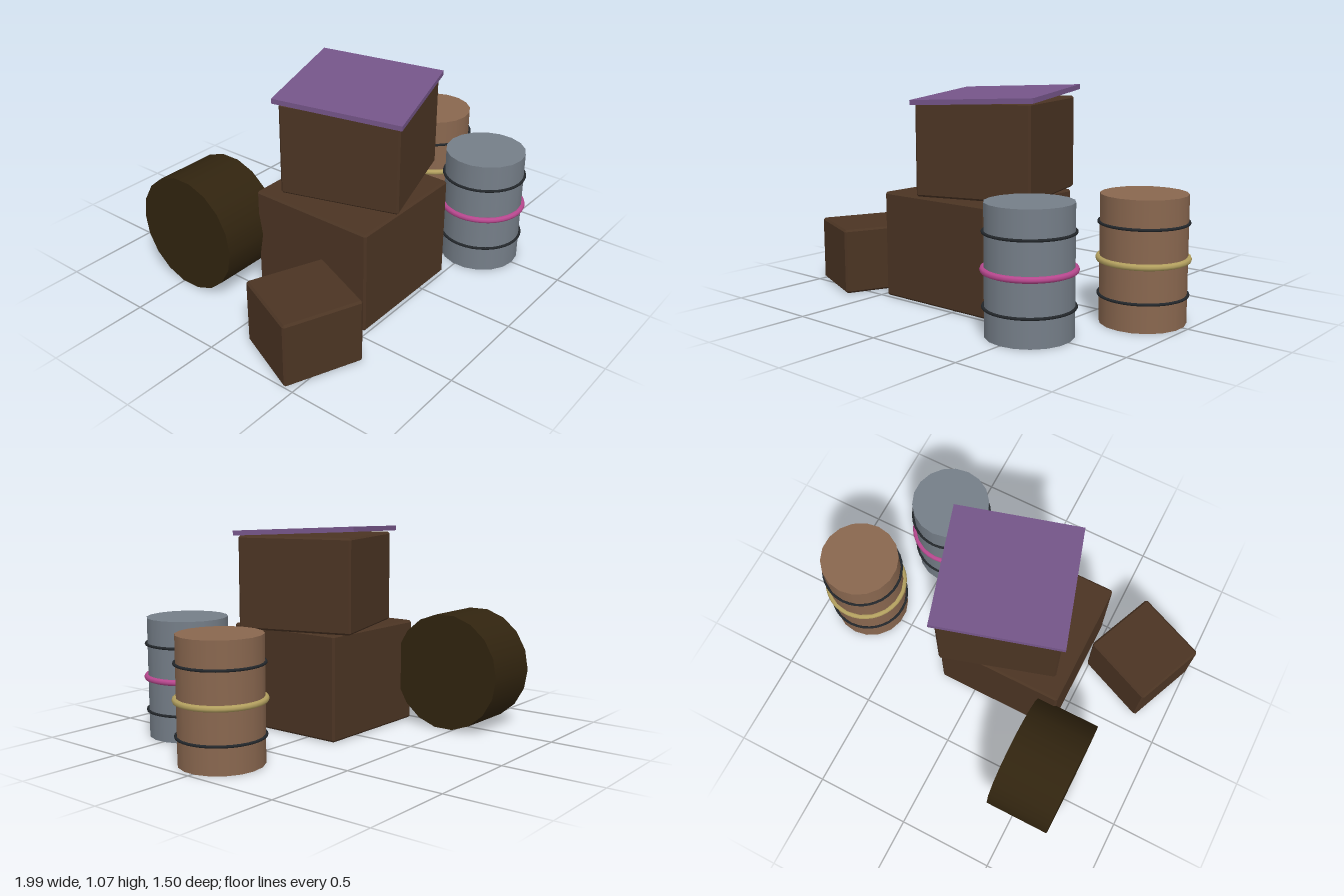
import * as THREE from 'three';
import { ConvexGeometry } from 'three/addons/geometries/ConvexGeometry.js';

const mat = (name, color, flatShading = false) => {
  const m = new THREE.MeshStandardMaterial({ color, flatShading });
  m.name = name;
  return m;
};

export function createModel() {
  const model = new THREE.Group();
  const wood = mat('crate wood', 0x4b3423, true);
  const purple = mat('purple lid', 0x755589, true);
  const grey = mat('grey steel', 0x757e88);
  const rust = mat('rusty brown', 0x89674f);
  const drumDark = mat('dark olive', 0x31240f);
  const band = mat('black band', 0x23272b);
  const pink = mat('pink band', 0xb8488f);
  const yellow = mat('yellow band', 0xb3a05f);

  const add = (parent, name, geometry, material, x = 0, y = 0, z = 0) => {
    const mesh = new THREE.Mesh(geometry, material);
    mesh.name = name;
    mesh.position.set(x, y, z);
    parent.add(mesh);
    return mesh;
  };

  // Box with all edges cut at 45 degrees
  const chamferBox = (w, h, d, c) => {
    const points = [];
    for (const sx of [-1, 1]) for (const sy of [-1, 1]) for (const sz of [-1, 1]) {
      for (let face = 0; face < 3; face++) {
        const inset = [0, 1, 2].map((axis) => (axis === face ? 0 : c));
        points.push(new THREE.Vector3(
          sx * (w / 2 - inset[0]), sy * (h / 2 - inset[1]), sz * (d / 2 - inset[2])));
      }
    }
    return new ConvexGeometry(points);
  };

  // Crates: name, width, height, x, base y, z, turn
  for (const [name, w, h, x, y, z, turn] of [
    ['largeCrate', 0.67, 0.535, -0.135, 0.003, 0.155, 0],
    ['upperCrate', 0.6, 0.47, -0.037, 0.54, 0.125, 0.3],
    ['smallCrate', 0.395, 0.332, -0.745, 0.003, 0.355, -0.4],
  ]) {
    add(model, name, chamferBox(w, h, w, 0.01), wood, x, y + h / 2, z).rotation.y = turn;
  }

  // Crooked lid on the upper crate
  const lid = add(model, 'crateLid', new THREE.BoxGeometry(0.64, 0.025, 0.64), purple, -0.037, 1.026, 0.12);
  lid.rotation.set(0.05, 0.3, 0.04, 'YXZ');

  // Upright barrels with two black hoops and a coloured middle band
  const barrel = (name, x, z, body, accent) => {
    const group = new THREE.Group();
    group.name = name;
    group.position.set(x, 0, z);
    add(group, 'barrelBody', new THREE.CylinderGeometry(0.204, 0.204, 0.605, 18), body, 0, 0.3025, 0);
    for (const [part, y, tube, radius, m] of [
      ['lowerHoop', 0.135, 0.007, 0.208, band],
      ['upperHoop', 0.473, 0.007, 0.208, band],
      ['middleBand', 0.304, 0.015, 0.207, accent],
    ]) {
      const hoop = add(group, part, new THREE.TorusGeometry(radius, tube, 8, 36), m, 0, y, 0);
      hoop.rotation.x = Math.PI / 2;
    }
    model.add(group);
  };
  barrel('greyBarrel', 0.501, 0.525, grey, pink);
  barrel('brownBarrel', 0.769, 0.022, rust, yellow);

  // Wide drum lying on its side
  const drum = add(model, 'lyingDrum', new THREE.CylinderGeometry(0.302, 0.302, 0.335, 18), drumDark, -0.538, 0.302, -0.451);
  drum.rotation.z = Math.PI / 2;

  return model;
}
